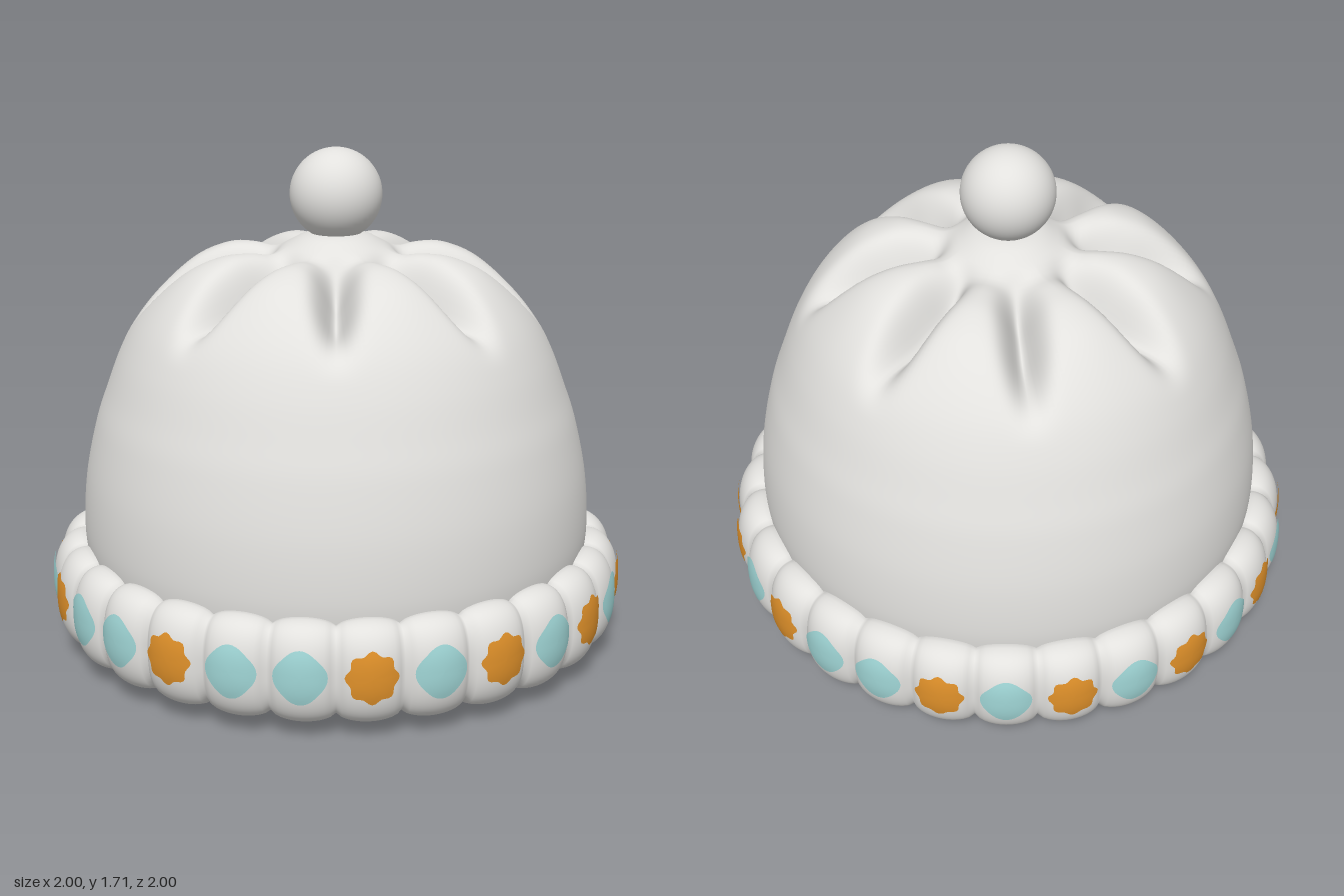
import * as THREE from 'three';
import { mergeVertices, toCreasedNormals } from 'three/addons/utils/BufferGeometryUtils.js';

const plaster = new THREE.MeshStandardMaterial({ color: 0xe2e1de });
plaster.name = 'paleGrey';
const orange = new THREE.MeshStandardMaterial({ color: 0xe0912a });
orange.name = 'orange';
const teal = new THREE.MeshStandardMaterial({ color: 0xa0d6d6 });
teal.name = 'paleTeal';

const RIBS = 28;
const STEP = (Math.PI * 2) / RIBS;
const BRIM = { r: 0.88, y: 0.217, a: 0.113, b: 0.168, n: 2.4 };
const smooth = THREE.MathUtils.smoothstep;
const v2 = (list) => list.map(([x, y]) => new THREE.Vector2(x, y));

// Lathe whose vertices are moved by rule(radius, y, angle) -> [radius, y]
function shapedLathe(points, segments, rule) {
  const geo = new THREE.LatheGeometry(points, segments);
  const pos = geo.attributes.position;
  const rows = points.length;
  for (let i = 0; i < pos.count; i++) {
    const angle = (Math.floor(i / rows) % segments) * Math.PI * 2 / segments;
    const p = points[i % rows];
    const [r, y] = rule(p.x, p.y, angle);
    pos.setXYZ(i, r * Math.sin(angle), y, r * Math.cos(angle));
  }
  geo.deleteAttribute('uv');
  geo.deleteAttribute('normal');
  const merged = mergeVertices(geo, 1e-5);
  merged.computeVertexNormals();
  return merged;
}

// Signed distance to the nearest of n evenly spaced angles, -0.5..0.5 of a step
function phase(angle, n) {
  const t = (angle * n) / (Math.PI * 2);
  return t - Math.round(t);
}

// Groove depth between the rounded ribs of the brim
function groove(angle) {
  const t = phase(angle, RIBS) * 2;
  return 0.05 * (1 - Math.sqrt(1 - 0.94 * t * t));
}

// Dome with eight gathered creases around the crown
function makeDome() {
  const profile = new THREE.SplineCurve(v2([
    [0.865, 0.28], [0.88, 0.42], [0.868, 0.6], [0.83, 0.78], [0.79, 0.9], [0.74, 1.03],
    [0.68, 1.14], [0.6, 1.23], [0.5, 1.305], [0.4, 1.347], [0.3, 1.362], [0.23, 1.362],
    [0.17, 1.388], [0.11, 1.418], [0.03, 1.43],
  ])).getSpacedPoints(80);
  return shapedLathe(profile, 256, (r, y, angle) => {
    const reach = smooth(r, 0.17, 0.4) * (1 - smooth(r, 0.48, 0.72)) * smooth(y, 0.95, 1.1);
    const t = phase(angle, 8);
    const across = t * (Math.PI / 4) * r;
    const depth = reach * (0.15 * Math.exp(-Math.pow(across / 0.055, 2)) - 0.018 * (1 - Math.cos(t * Math.PI * 2)) / 2);
    return [r - depth * 0.45, y - depth * 0.9];
  });
}

// Thick brim made of rounded ribs
function makeBrim() {
  const points = [[0.6, 0.042], [0.68, 0.042], [0.76, 0.044], [0.82, 0.046]];
  for (let i = 0; i <= 32; i++) {
    const a = -Math.PI / 2 + (i / 32) * Math.PI;
    const e = 2 / BRIM.n;
    points.push([
      BRIM.r + BRIM.a * Math.pow(Math.max(Math.cos(a), 0), e),
      BRIM.y + BRIM.b * Math.sign(a) * Math.pow(Math.abs(Math.sin(a)), e),
    ]);
  }
  points.push([0.855, 0.375], [0.83, 0.34]);
  return shapedLathe(v2(points), RIBS * 12, (r, y, angle) => {
    const g = groove(angle) * smooth(r, 0.68, 0.88);
    const k = r > BRIM.r ? (r - BRIM.r) / BRIM.a : 0;
    return [r - g * k, BRIM.y + (y - BRIM.y) * (1 - (g * 0.7) / BRIM.b)];
  });
}

// Thin painted spot that follows the surface of one rib
function makeSpot(center, radius, lobes, wave) {
  const geo = new THREE.RingGeometry(0.001, 1, 48, 6);
  const pos = geo.attributes.position;
  for (let i = 0; i < pos.count; i++) {
    const x = pos.getX(i), y = pos.getY(i);
    const size = radius * (1 + wave * Math.cos(lobes * Math.atan2(y, x)));
    const angle = center + (x * size) / 0.99;
    const dy = y * size * 1.04;
    const g = groove(angle);
    const h = Math.min(Math.abs(dy) / (BRIM.b - g * 0.7), 1);
    const r = BRIM.r + (BRIM.a - g) * Math.pow(1 - Math.pow(h, BRIM.n), 1 / BRIM.n) + 0.005;
    pos.setXYZ(i, r * Math.sin(angle), BRIM.y + 0.012 + dy, r * Math.cos(angle));
  }
  geo.computeVertexNormals();
  return geo;
}

export function createModel() {
  const model = new THREE.Group();
  model.name = 'domedLid';
  const add = (name, geo, mat, parent = model) => {
    const mesh = new THREE.Mesh(geo, mat);
    mesh.name = name;
    parent.add(mesh);
    return mesh;
  };

  add('dome', makeDome(), plaster);
  add('brim', makeBrim(), plaster);

  // Ball on the crown
  add('knob', new THREE.SphereGeometry(0.157, 48, 32), plaster).position.y = 1.555;

  // Foot ring with a shallow recess underneath
  const foot = new THREE.LatheGeometry(v2([[0, 0.05], [0.42, 0.05], [0.42, 0], [0.64, 0], [0.64, 0.06]]), 96);
  add('foot', toCreasedNormals(foot, 0.6), plaster);

  // Spots, counted from the front towards +x: O is orange, T is teal
  const spots = new THREE.Group();
  spots.name = 'spots';
  model.add(spots);
  [...'TOTTOTOTOTOOTOTTOTOTOTOTOTOT'].forEach((c, i) => {
    if (c === 'O') add('orangeSpot', makeSpot(i * STEP, 0.079, 8, 0.08), orange, spots);
    else add('tealSpot', makeSpot(i * STEP, 0.082, 4, 0.05), teal, spots);
  });

  return model;
}
